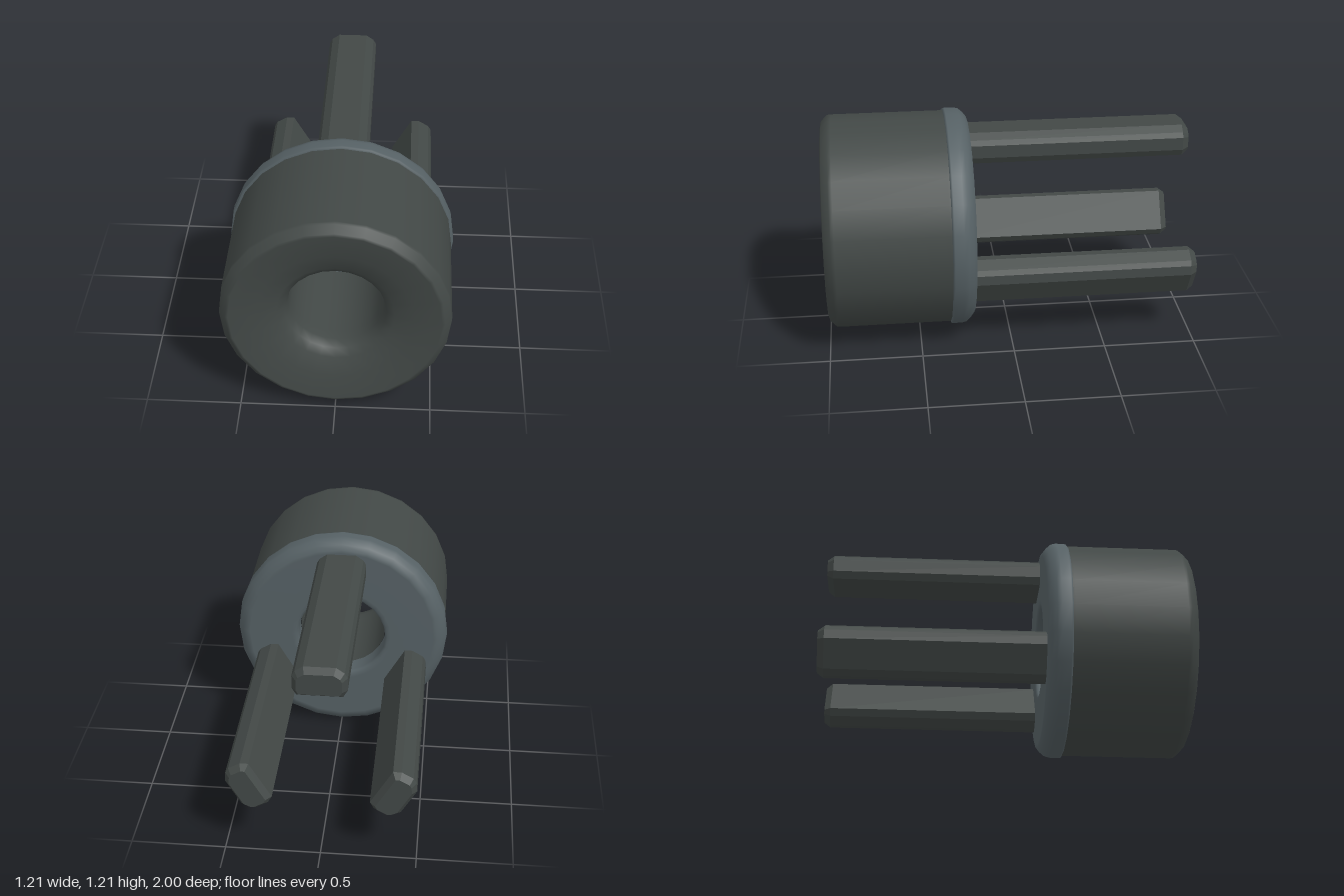
import * as THREE from 'three';

const CENTER_Y = 0.605;
const SIDES = 24;

// Revolves [radius, z] pairs around the z axis
function ring(name, profile, material) {
  const points = profile.map(([r, z]) => new THREE.Vector2(r, z));
  const geometry = new THREE.LatheGeometry(points, SIDES);
  geometry.rotateX(Math.PI / 2);
  const mesh = new THREE.Mesh(geometry, material);
  mesh.name = name;
  return mesh;
}

// Bevelled prong, given as [sideways, radial] half profile
function prongGeometry() {
  const half = [[0.115, 0.357], [0.137, 0.395], [0.137, 0.465], [0.122, 0.492], [0.08, 0.521]];
  const outline = [...half, ...half.map(([x, y]) => [-x, y]).reverse()];
  const shape = new THREE.Shape(outline.map(([x, y]) => new THREE.Vector2(x, y)));
  const geometry = new THREE.ExtrudeGeometry(shape, {
    depth: 1.2,
    bevelEnabled: true,
    bevelThickness: 0.035,
    bevelSize: 0.025,
    bevelOffset: -0.025,
    bevelSegments: 1,
  });
  geometry.translate(0, 0, -0.965);
  return geometry;
}

export function createModel() {
  const model = new THREE.Group();
  model.name = 'prongedRing';

  const dark = new THREE.MeshStandardMaterial({ color: 0x424846 });
  dark.name = 'darkGrey';
  const slate = new THREE.MeshStandardMaterial({ color: 0x566165 });
  slate.name = 'slateGrey';

  const assembly = new THREE.Group();
  assembly.name = 'assembly';
  assembly.position.y = CENTER_Y;
  model.add(assembly);

  // Barrel with a shallow dished front and a long straight bore
  assembly.add(ring('barrel', [
    [0.59, 0.31], [0.59, 0.34], [0.59, 0.94], [0.588, 0.96], [0.555, 0.995], [0.54, 1],
    [0.4, 0.978], [0.3, 0.945], [0.26, 0.915], [0.247, 0.86], [0.247, 0.8], [0.247, 0.32],
  ], dark));

  // Collar with its bore lip and rounded back edge
  assembly.add(ring('collar', [
    [0.25, 0.33], [0.25, 0.23], [0.252, 0.21], [0.265, 0.2], [0.285, 0.2], [0.53, 0.2],
    [0.55, 0.201], [0.575, 0.22], [0.597, 0.245], [0.603, 0.27], [0.603, 0.32],
    [0.6, 0.33], [0.585, 0.332],
  ], slate));

  // Three prongs spaced evenly around the back
  const geometry = prongGeometry();
  ['topProng', 'rightProng', 'leftProng'].forEach((name, i) => {
    const prong = new THREE.Mesh(geometry, dark);
    prong.name = name;
    prong.rotation.z = (i * Math.PI * 2) / 3;
    assembly.add(prong);
  });

  return model;
}
